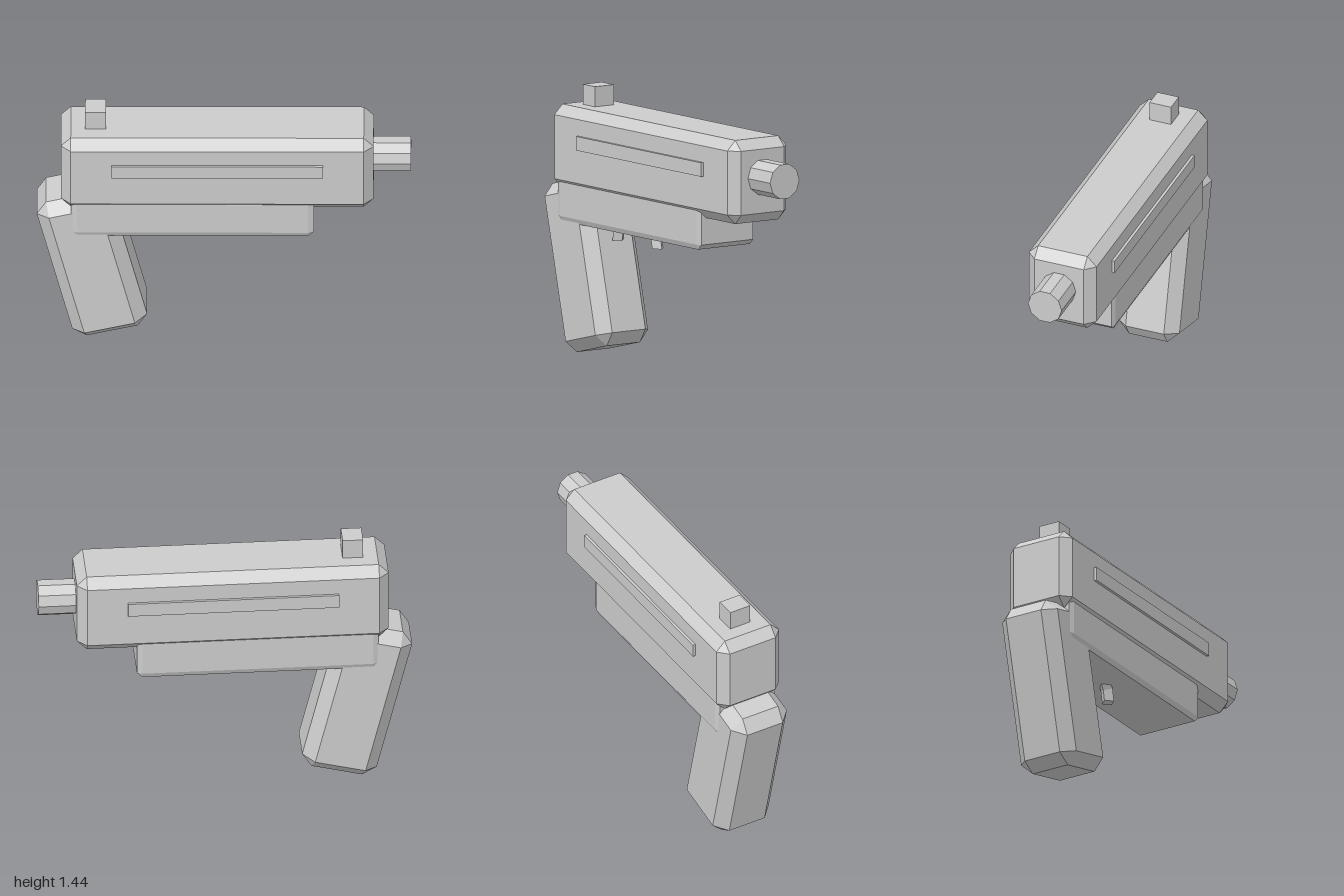
import * as THREE from 'three';
import { ConvexGeometry } from 'three/addons/geometries/ConvexGeometry.js';

// Box of the given size with bevels of bx, by, bz cut along each axis
function bevelBox(w, h, d, bx, by, bz) {
  const points = [];
  for (const sx of [-1, 1]) for (const sy of [-1, 1]) for (const sz of [-1, 1]) {
    const x = w / 2, y = h / 2, z = d / 2;
    points.push(
      new THREE.Vector3(sx * x, sy * (y - by), sz * (z - bz)),
      new THREE.Vector3(sx * (x - bx), sy * y, sz * (z - bz)),
      new THREE.Vector3(sx * (x - bx), sy * (y - by), sz * z)
    );
  }
  return new ConvexGeometry(points);
}

export function createModel() {
  const model = new THREE.Group();
  model.name = 'pistol';
  const grey = new THREE.MeshStandardMaterial({
    name: 'grey', color: 0xcccccc, flatShading: true, side: THREE.DoubleSide
  });

  const add = (name, geometry, x, y, z = 0) => {
    const mesh = new THREE.Mesh(geometry, grey);
    mesh.name = name;
    mesh.position.set(x, y, z);
    model.add(mesh);
    return mesh;
  };

  // Slide and lower frame
  add('slide', bevelBox(1.67, 0.452, 0.39, 0.053, 0.053, 0.053), -0.035, 1.111);
  add('frame', bevelBox(1.295, 0.238, 0.366, 0.03, 0.028, 0.012), -0.167, 0.831);

  // Raked grip
  const grip = add('grip', bevelBox(0.412, 0.911, 0.348, 0.067, 0.063, 0.064), -0.704, 0.48);
  grip.rotation.z = 0.2435;

  // Ten-sided barrel
  const barrel = new THREE.CylinderGeometry(0.097, 0.097, 0.3, 10).rotateZ(-Math.PI / 2);
  add('barrel', barrel, 0.85, 1.133);

  // Rear sight
  add('rearSight', new THREE.BoxGeometry(0.11, 0.13, 0.124), -0.685, 1.381);

  // Raised strips on both sides
  for (const side of [-1, 1]) {
    add(side > 0 ? 'frontStrip' : 'backStrip',
      new THREE.BoxGeometry(1.13, 0.076, 0.03), -0.035, 1.157, side * 0.195);
  }

  // Half-ring trigger guard, mostly sunk in the frame
  add('triggerGuard', new THREE.TorusGeometry(0.18, 0.037, 4, 8, Math.PI), -0.328, 0.627);
  for (const side of [-1, 1]) {
    const cap = new THREE.CircleGeometry(0.037, 4).rotateX(Math.PI / 2);
    add('guardEnd', cap, -0.328 + side * 0.18, 0.627);
  }

  return model;
}
